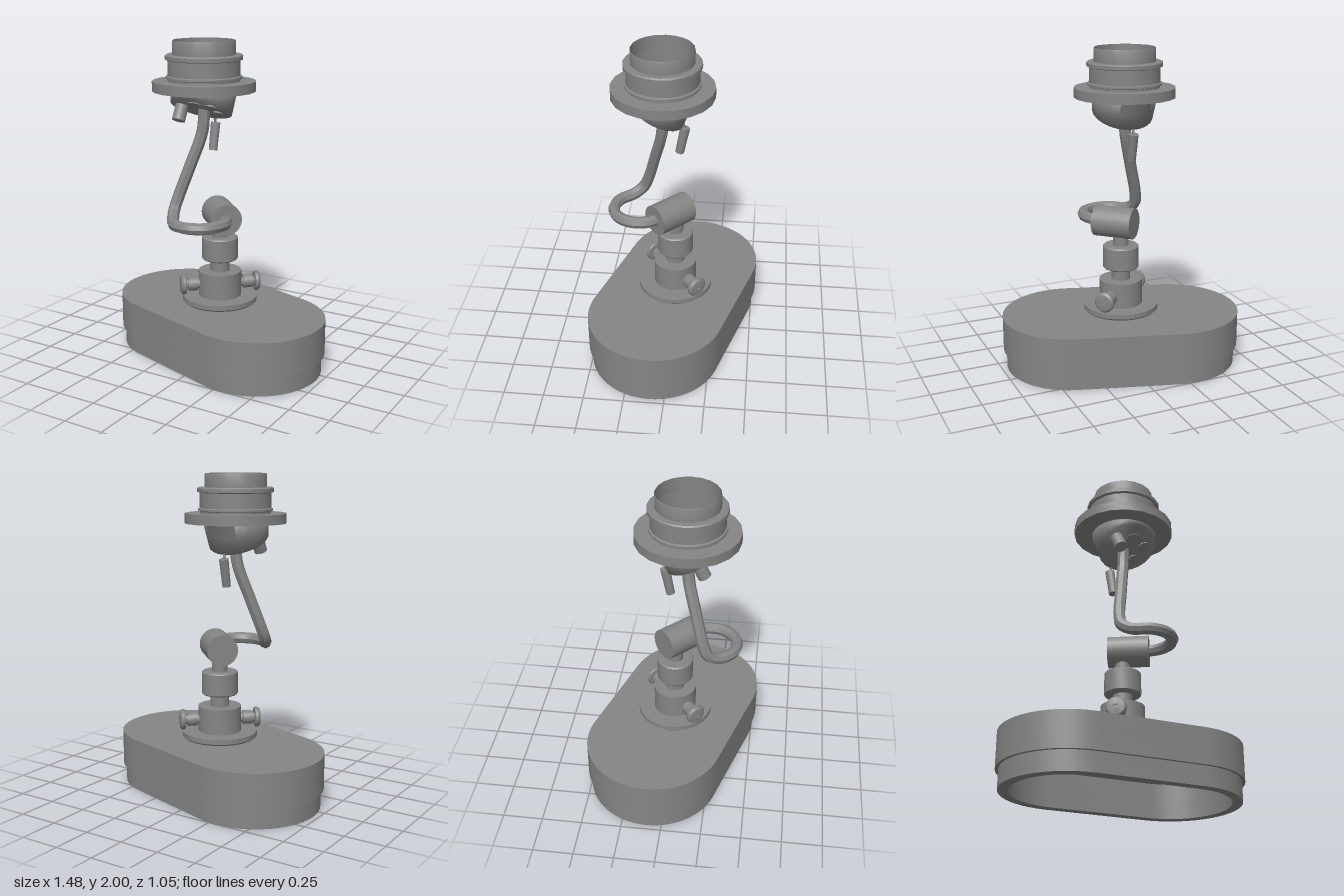
import * as THREE from 'three';
import { toCreasedNormals } from 'three/addons/utils/BufferGeometryUtils.js';

const V = (x, y, z) => new THREE.Vector3(x, y, z);
const darkGrey = new THREE.MeshStandardMaterial({ color: 0x858585, side: THREE.DoubleSide });

function add(parent, name, geometry) {
  const mesh = new THREE.Mesh(geometry, darkGrey);
  mesh.name = name;
  parent.add(mesh);
  return mesh;
}

function lathe(points, segments) {
  const profile = points.map(([r, y]) => new THREE.Vector2(r, y));
  return toCreasedNormals(new THREE.LatheGeometry(profile, segments), 0.6);
}

// Straight rod between two points
function rod(parent, name, a, b, r, sides = 12, r2 = r) {
  const dir = b.clone().sub(a);
  const mesh = add(parent, name, new THREE.CylinderGeometry(r2, r, dir.length(), sides));
  mesh.position.copy(a).add(b).multiplyScalar(0.5);
  mesh.quaternion.setFromUnitVectors(V(0, 1, 0), dir.normalize());
}

// Outline with two round ends, straight along x
const HALF = 0.322;
function stadium(r, Type = THREE.Shape) {
  const s = new Type();
  s.moveTo(-HALF, -r);
  s.lineTo(HALF, -r);
  s.absarc(HALF, 0, r, -Math.PI / 2, Math.PI / 2, false);
  s.lineTo(-HALF, r);
  s.absarc(-HALF, 0, r, Math.PI / 2, Math.PI * 1.5, false);
  return s;
}

// Horizontal slab from y0 to y1
function slab(shape, y0, y1, curveSegments = 16) {
  const g = new THREE.ExtrudeGeometry(shape, { depth: y1 - y0, bevelEnabled: false, curveSegments });
  g.rotateX(-Math.PI / 2).translate(0, y0, 0);
  return toCreasedNormals(g, 0.6);
}

function ringShape(outer, inner) {
  const s = stadium(outer);
  s.holes.push(stadium(inner, THREE.Path));
  return s;
}

function buildHead() {
  const head = new THREE.Group();
  head.name = 'head';
  head.rotation.y = -0.298;
  add(head, 'headTop', slab(stadium(0.43), 0.27, 0.34));
  add(head, 'headWall', slab(ringShape(0.43, 0.35), 0.12, 0.27));
  add(head, 'headRim', slab(ringShape(0.411, 0.35), 0, 0.12));

  // Perforated plate, alternate rows staggered
  const plate = stadium(0.352);
  for (let row = -3; row <= 3; row++) {
    const count = row % 2 ? 10 : 11;
    for (let i = 0; i < count; i++) {
      const x = (i - (count - 1) / 2) * 0.1;
      const y = row * 0.085;
      if (Math.hypot(Math.max(0, Math.abs(x) - HALF), y) > 0.31) continue;
      const hole = new THREE.Path();
      hole.absarc(x, y, 0.02, 0, Math.PI * 2, true);
      plate.holes.push(hole);
    }
  }
  add(head, 'perforatedPlate', slab(plate, 0.22, 0.235, 8));
  return head;
}

function buildStem() {
  const stem = new THREE.Group();
  stem.name = 'stem';
  add(stem, 'baseFlange', lathe([[0, 0.36], [0.225, 0.36], [0.235, 0.37], [0.235, 0.4], [0, 0.4]], 32));
  add(stem, 'valveBody', lathe([[0, 0.4], [0.135, 0.4], [0.135, 0.56], [0, 0.56]], 24));
  add(stem, 'neck', new THREE.CylinderGeometry(0.06, 0.06, 0.1, 16)).position.y = 0.6;
  add(stem, 'collar', lathe([[0, 0.635], [0.107, 0.635], [0.113, 0.642], [0.113, 0.774],
    [0.106, 0.782], [0, 0.782]], 24));
  add(stem, 'upperNeck', new THREE.CylinderGeometry(0.05, 0.05, 0.1, 16)).position.y = 0.82;
  rod(stem, 'knuckle', V(-0.063, 0.925, -0.063), V(0.116, 0.925, 0.116), 0.097, 24);

  // Pair of side knobs on the diagonal
  for (const side of [0, 1]) {
    const knob = add(stem, side ? 'rightKnob' : 'leftKnob', lathe([[0, 0.1], [0.03, 0.1],
      [0.03, 0.145], [0.043, 0.145], [0.043, 0.205], [0.03, 0.205], [0.03, 0.218], [0.06, 0.22],
      [0.064, 0.226], [0.064, 0.24], [0.052, 0.252], [0.012, 0.257], [0.01, 0.253], [0, 0.253]], 20));
    knob.position.y = 0.475;
    knob.rotation.set(0, 0.71 + side * Math.PI, -Math.PI / 2, 'YXZ');
  }
  return stem;
}

// Eight-sided hose, hooked at the knuckle and rising to the socket
function buildHose() {
  const path = new THREE.CatmullRomCurve3([
    V(0.1, 0.925, 0.1), V(0.144, 0.925, 0.18), V(0.14, 0.925, 0.28), V(0.08, 0.925, 0.36),
    V(-0.01, 0.925, 0.387), V(-0.1, 0.925, 0.36), V(-0.165, 0.932, 0.28), V(-0.195, 0.975, 0.22),
    V(-0.185, 1.05, 0.188), V(-0.131, 1.24, 0.138), V(-0.082, 1.41, 0.094), V(-0.068, 1.48, 0.085),
    V(-0.064, 1.56, 0.082), V(-0.0625, 1.72, 0.08)]);
  return toCreasedNormals(new THREE.TubeGeometry(path, 60, 0.037, 8), 0.6);
}

// Tapered body under the socket, cut off at a slant with a soft lower edge
const faceY = (z) => 1.577 + z * 0.5;
function slantedBody() {
  const g = new THREE.CylinderGeometry(0.2, 0.2, 1, 24, 2);
  const p = g.attributes.position;
  for (let i = 0; i < p.count; i++) {
    const t = 0.5 - p.getY(i); // 0 at the top, 1 at the cut
    const x = p.getX(i);
    const z = p.getZ(i) * 1.04;
    const cutZ = 0.037 + z * 0.78;
    p.setXYZ(i, x * (1 - 0.04 * t), 1.71 + (faceY(cutZ) - 1.71) * t, z + (cutZ - z) * t);
  }
  return toCreasedNormals(g, 1.9);
}

function buildSocket() {
  const socket = new THREE.Group();
  socket.name = 'socket';
  socket.position.set(-0.0625, 0, 0.08);
  add(socket, 'socketFlange', lathe([[0.18, 1.7], [0.313, 1.7], [0.313, 1.76], [0.18, 1.76]], 20));
  // Hollow sleeve, wider inside below the neck
  add(socket, 'socketSleeve', lathe([[0.218, 1.76], [0.218, 1.772], [0.23, 1.776], [0.23, 1.788],
    [0.219, 1.793], [0.219, 1.883], [0.234, 1.888], [0.234, 1.91], [0.226, 1.917], [0.19, 1.917],
    [0.19, 1.992], [0.187, 2], [0.187, 1.912], [0.212, 1.91], [0.212, 1.72], [0, 1.72]], 20));
  add(socket, 'slantedBody', slantedBody());
  add(socket, 'hoseEnd', new THREE.CylinderGeometry(0.038, 0.038, 0.05, 8)).position.y = 1.71;

  // Fittings on the slanted face
  const down = V(0, -0.894, 0.447);
  const fitting = (name, x, z, length, r) => {
    const a = V(x, faceY(z), z);
    rod(socket, name, a.clone().addScaledVector(down, -0.03), a.clone().addScaledVector(down, length), r, 14);
  };
  fitting('faceDisc', 0, 0.094, 0.004, 0.053);
  fitting('terminalStub', -0.113, 0.07, 0.097, 0.04);
  fitting('smallBoss', 0.1, 0.085, 0.008, 0.038);
  fitting('smallBoss', 0.09, -0.01, 0.008, 0.03);

  // Hanging pull and its short wire
  rod(socket, 'pullWire', V(0, 1.56, -0.11), V(0, 1.48, -0.133), 0.008, 6);
  rod(socket, 'pullRod', V(0, 1.49, -0.133), V(0, 1.32, -0.1), 0.03, 10, 0.027);
  return socket;
}

export function createModel() {
  const model = new THREE.Group();
  model.name = 'showerFixture';
  model.add(buildHead(), buildStem(), buildSocket());
  add(model, 'hose', buildHose());
  return model;
}
